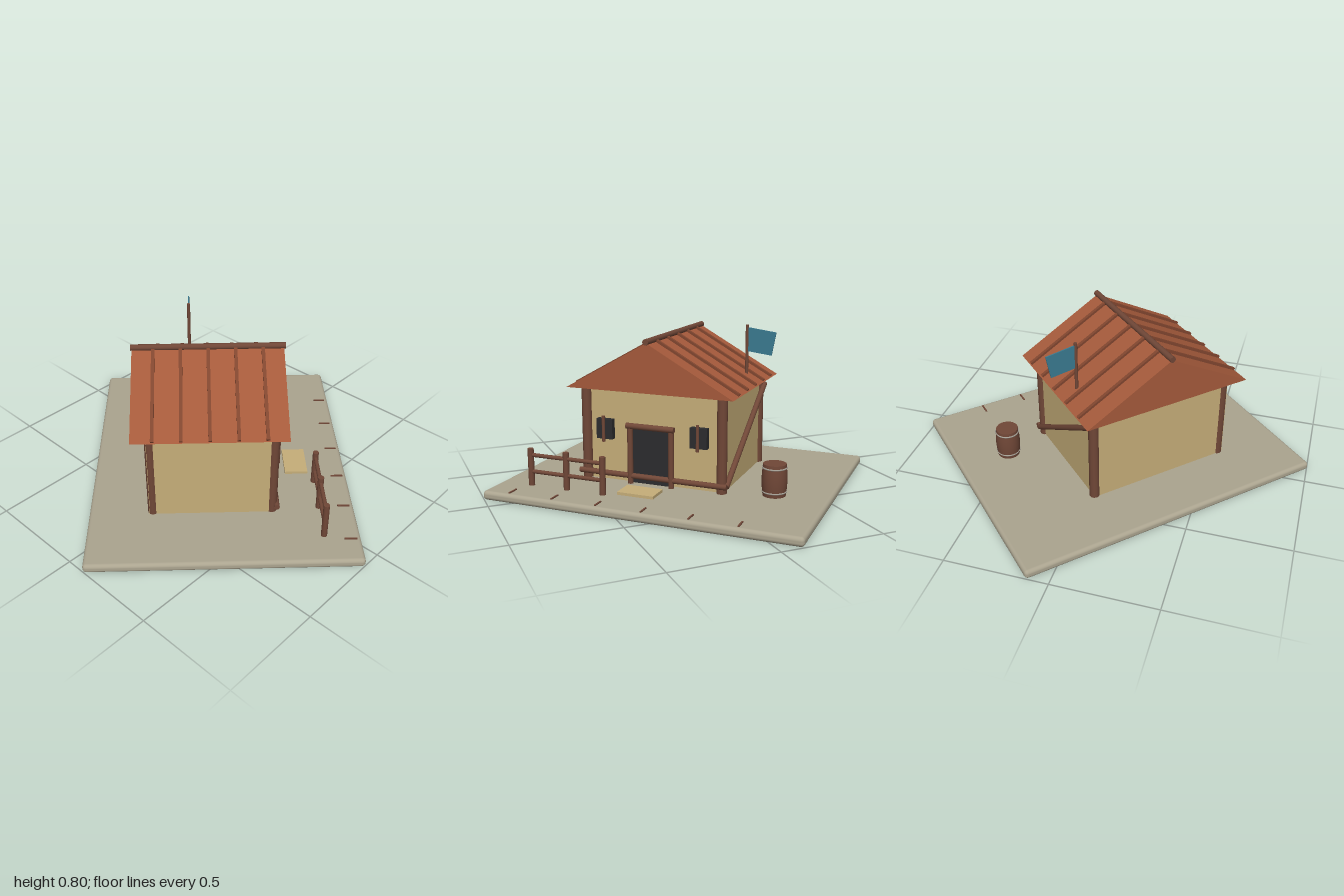
import * as THREE from 'three';
import { RoundedBoxGeometry } from 'three/addons/geometries/RoundedBoxGeometry.js';

const paint = (name, color) => {
  const m = new THREE.MeshStandardMaterial({ color });
  m.name = name;
  return m;
};

export function createModel() {
  const stone = paint('stone', 0xaba48f);
  const plaster = paint('plaster', 0xc6ae79);
  const log = paint('log', 0x704737);
  const tile = paint('roof tile', 0xa55a3b);
  const batten = paint('roof batten', 0x81462f);
  const dark = paint('dark opening', 0x2c2c2e);
  const cloth = paint('flag cloth', 0x3a7a90);
  const metal = paint('barrel hoop', 0xa8a398);

  const model = new THREE.Group();
  model.name = 'cottage';
  // The whole plot is turned so that the door looks at +x +z.
  const plot = new THREE.Group();
  plot.name = 'plot';
  plot.rotation.y = Math.PI / 4;
  model.add(plot);

  const add = (name, geometry, material, x = 0, y = 0, z = 0) => {
    const mesh = new THREE.Mesh(geometry, material);
    mesh.name = name;
    mesh.position.set(x, y, z);
    plot.add(mesh);
    return mesh;
  };
  const box = (name, w, h, d, material, x, y, z) =>
    add(name, new THREE.BoxGeometry(w, h, d), material, x, y, z);
  // Round pole between two points
  const pole = (name, a, b, r, material = log) => {
    const from = new THREE.Vector3(...a), to = new THREE.Vector3(...b);
    const dir = to.clone().sub(from);
    const mesh = add(name, new THREE.CylinderGeometry(r, r, dir.length(), 12), material);
    mesh.position.copy(from).addScaledVector(dir, 0.5);
    mesh.quaternion.setFromUnitVectors(new THREE.Vector3(0, 1, 0), dir.normalize());
    return mesh;
  };

  const ground = 0.043, cx = -0.072;

  // Ground slab with short marks along the front edge
  add('groundSlab', new RoundedBoxGeometry(1.57, 0.045, 1.282, 3, 0.018), stone, 0, 0.0225, 0);
  for (let i = 0; i < 6; i++) {
    box('groundMark', 0.008, 0.006, 0.06, log, 0.495 - i * 0.228, 0.047, 0.592);
  }

  // Walls and corner posts
  box('walls', 0.738, 0.457, 0.587, plaster, -0.076, 0.2715, -0.0565);
  for (const x of [-0.426, 0.286]) {
    for (const z of [-0.333, 0.24]) pole('cornerPost', [x, ground, z], [x, 0.515, z], 0.025);
  }
  pole('sillBeam', [-0.46, 0.083, 0.262], [0.318, 0.083, 0.262], 0.014);
  pole('sideBrace', [0.312, 0.08, 0.25], [0.312, 0.468, -0.35], 0.014);

  // Roof: a solid gable with battens down both slopes and a ridge log
  const halfSpan = 0.431, eave = 0.51, apex = 0.75, back = -0.417, depth = 0.721;
  const gable = new THREE.Shape();
  gable.moveTo(-halfSpan, eave);
  gable.lineTo(halfSpan, eave);
  gable.lineTo(0, apex);
  gable.closePath();
  add('roof', new THREE.ExtrudeGeometry(gable, { depth, bevelEnabled: false }), tile, cx, 0, back);
  const slope = Math.hypot(halfSpan, apex - eave);
  const pitch = Math.atan2(apex - eave, halfSpan);
  for (const side of [-1, 1]) {
    for (let i = -2; i <= 2; i++) {
      const b = box('roofBatten', slope * 0.98, 0.016, 0.016, batten,
        cx + side * halfSpan / 2, (eave + apex) / 2 + 0.004, -0.0565 + i * 0.13);
      b.rotation.z = -side * pitch;
    }
  }
  pole('ridgeLog', [cx, 0.755, -0.422], [cx, 0.755, 0.312], 0.015);

  // Door with log frame
  box('door', 0.215, 0.285, 0.02, dark, cx, 0.19, 0.245);
  for (const s of [-1, 1]) {
    pole('doorJamb', [cx + s * 0.108, ground, 0.264], [cx + s * 0.108, 0.335, 0.264], 0.014);
  }
  pole('doorLintel', [cx - 0.125, 0.336, 0.268], [cx + 0.125, 0.336, 0.268], 0.015);
  box('doorStep', 0.185, 0.016, 0.115, plaster, cx, 0.051, 0.388);

  // Windows, each with one upright bar
  for (const s of [-1, 1]) {
    const x = cx + s * 0.247;
    box('window', 0.086, 0.1, 0.03, dark, x, 0.306, 0.25);
    pole('windowBar', [x, 0.245, 0.274], [x, 0.375, 0.274], 0.008);
  }

  // Fence
  for (const x of [-0.615, -0.42, -0.226]) {
    pole('fencePost', [x, ground, 0.47], [x, 0.23, 0.47], 0.015);
  }
  for (const y of [0.115, 0.198]) {
    pole('fenceRail', [-0.615, y, 0.47], [-0.226, y, 0.47], 0.01);
  }

  // Barrel with two hoops
  const bx = 0.523, bz = 0.17;
  const stave = [[0.055, 0], [0.059, 0.04], [0.061, 0.078], [0.059, 0.116], [0.055, 0.157]]
    .map(([r, y]) => new THREE.Vector2(r, y));
  add('barrel', new THREE.LatheGeometry(stave, 24), log, bx, ground, bz);
  add('barrelLid', new THREE.CylinderGeometry(0.055, 0.055, 0.004, 24), log, bx, 0.198, bz);
  for (const y of [0.066, 0.182]) {
    const hoop = add('barrelHoop', new THREE.TorusGeometry(0.057, 0.004, 6, 24), metal, bx, y, bz);
    hoop.rotation.x = Math.PI / 2;
  }

  // Flag on a pole through the roof
  const fx = 0.276, fz = -0.148;
  pole('flagPole', [fx, 0.54, fz], [fx, 0.8, fz], 0.008);
  const flag = new THREE.Shape();
  flag.moveTo(0, 0.668);
  flag.lineTo(0.128, 0.652);
  flag.lineTo(0.15, 0.768);
  flag.lineTo(0, 0.788);
  flag.closePath();
  add('flag', new THREE.ExtrudeGeometry(flag, { depth: 0.006, bevelEnabled: false }), cloth, fx, 0, fz - 0.003);

  return model;
}
